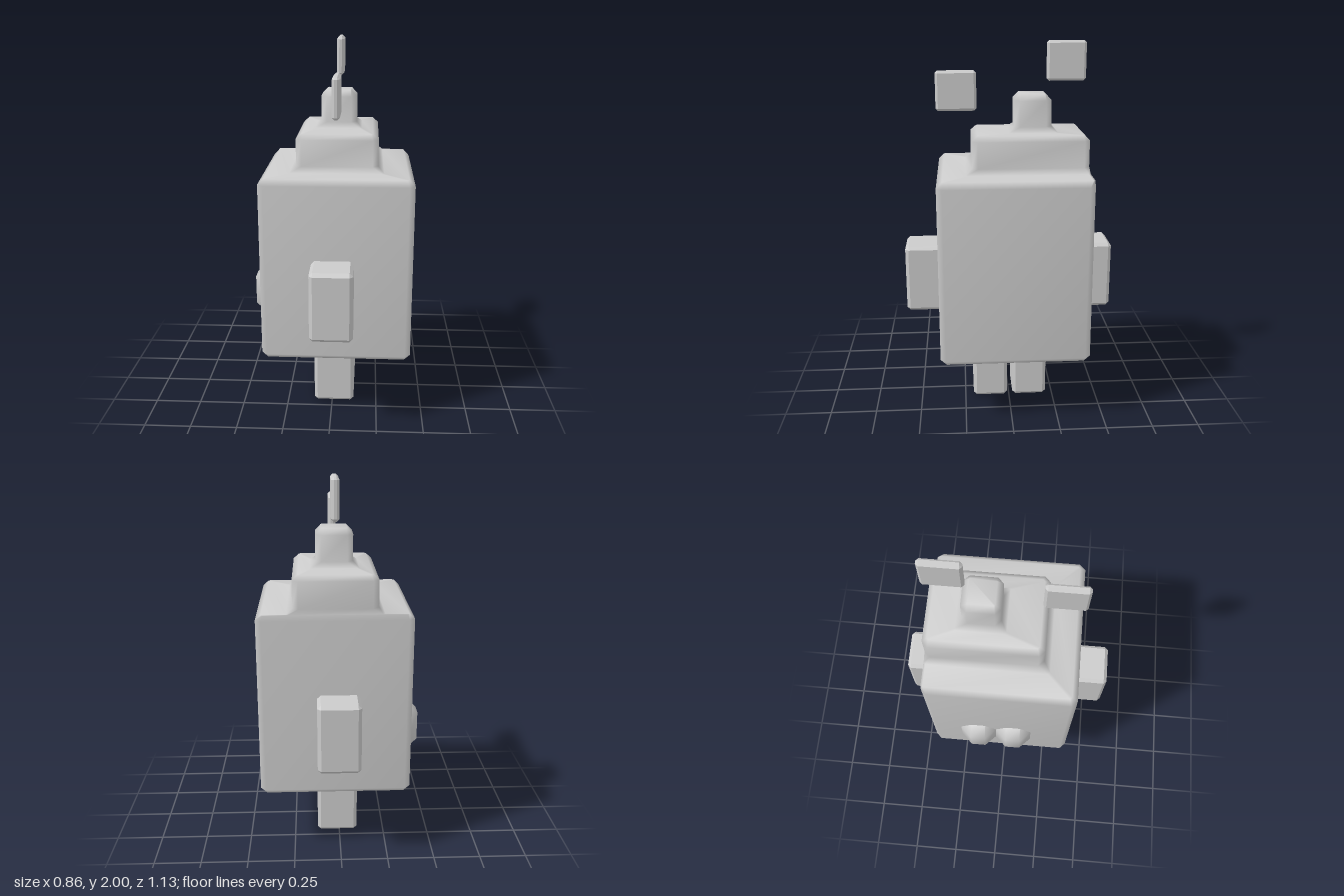
import * as THREE from 'three';

// Eight-cornered ring: a rectangle with cut corners at height y
function ring(y, x0, x1, z0, z1, c) {
  return [
    [x1, z0 + c], [x1, z1 - c], [x1 - c, z1], [x0 + c, z1],
    [x0, z1 - c], [x0, z0 + c], [x0 + c, z0], [x1 - c, z0],
  ].map(([x, z]) => [x, y, z]);
}

// Skin a stack of rings from bottom to top and close both ends
function loft(rings, flat) {
  const n = 8;
  const pos = rings.flat(2);
  const idx = [];
  for (let r = 0; r < rings.length - 1; r++) {
    for (let i = 0; i < n; i++) {
      const a = r * n + i, b = r * n + (i + 1) % n;
      idx.push(a, a + n, b, b, a + n, b + n);
    }
  }
  const top = (rings.length - 1) * n;
  for (let i = 1; i < n - 1; i++) {
    idx.push(0, i, i + 1, top, top + i + 1, top + i);
  }
  let geo = new THREE.BufferGeometry();
  geo.setAttribute('position', new THREE.Float32BufferAttribute(pos, 3));
  geo.setIndex(idx);
  if (flat) geo = geo.toNonIndexed();
  geo.computeVertexNormals();
  return geo;
}

// Box with bevelled edges, given by its limits
function bevelBox([x0, x1], [y0, y1], [z0, z1], c, flat = true) {
  const small = (y) => ring(y, x0 + c, x1 - c, z0 + c, z1 - c, c * 0.05);
  const full = (y) => ring(y, x0, x1, z0, z1, c);
  return loft([small(y0), full(y0 + c), full(y1 - c), small(y1)], flat);
}

export function createModel() {
  const group = new THREE.Group();
  const smooth = new THREE.MeshStandardMaterial({ color: 0xcccccc });
  const faceted = new THREE.MeshStandardMaterial({ color: 0xcccccc, flatShading: true });
  const add = (name, geo, mat = faceted) => {
    const mesh = new THREE.Mesh(geo, mat);
    mesh.name = name;
    group.add(mesh);
  };

  // Stepped body: large block, shoulder step and top knob in one smooth skin
  add('steppedBody', loft([
    ring(0.35, -0.34, 0.395, -0.385, 0.35, 0.003),
    ring(0.38, -0.37, 0.425, -0.415, 0.38, 0.03),
    ring(1.31, -0.37, 0.425, -0.415, 0.38, 0.03),
    ring(1.34, -0.34, 0.395, -0.413, 0.35, 0.01),
    ring(1.342, -0.22, 0.27, -0.412, 0.23, 0.01),
    ring(1.37, -0.19, 0.24, -0.411, 0.197, 0.03),
    ring(1.508, -0.19, 0.24, -0.411, 0.197, 0.03),
    ring(1.535, -0.16, 0.21, -0.385, 0.167, 0.01),
    ring(1.537, -0.1, 0.15, -0.255, 0.0, 0.01),
    ring(1.565, -0.07, 0.122, -0.224, -0.028, 0.03),
    ring(1.7, -0.07, 0.122, -0.224, -0.028, 0.03),
    ring(1.732, -0.04, 0.092, -0.194, -0.058, 0.005),
  ]), smooth);

  // Arms, front and back
  add('frontArm', bevelBox([-0.1, 0.122], [0.545, 0.917], [0.34, 0.565], 0.018));
  add('backArm', bevelBox([-0.1, 0.122], [0.545, 0.917], [-0.566, -0.37], 0.018));

  // Legs
  add('frontLeg', bevelBox([-0.1, 0.122], [0, 0.38], [0.01, 0.203], 0.018));
  add('backLeg', bevelBox([-0.1, 0.122], [0, 0.38], [-0.212, -0.02], 0.018));

  // Pair of rounded bumps low on the right side
  for (const z of [-0.14, 0.06]) {
    add('sideBump', bevelBox([-0.43, -0.24], [0.497, 0.775], [z - 0.101, z + 0.101], 0.06, false), smooth);
  }

  // Thin floating plates above the body
  add('frontPlate', bevelBox([0.007, 0.047], [1.64, 1.849], [0.166, 0.381], 0.013));
  add('backPlate', bevelBox([0.007, 0.047], [1.793, 2.0], [-0.41, -0.203], 0.013));

  return group;
}
